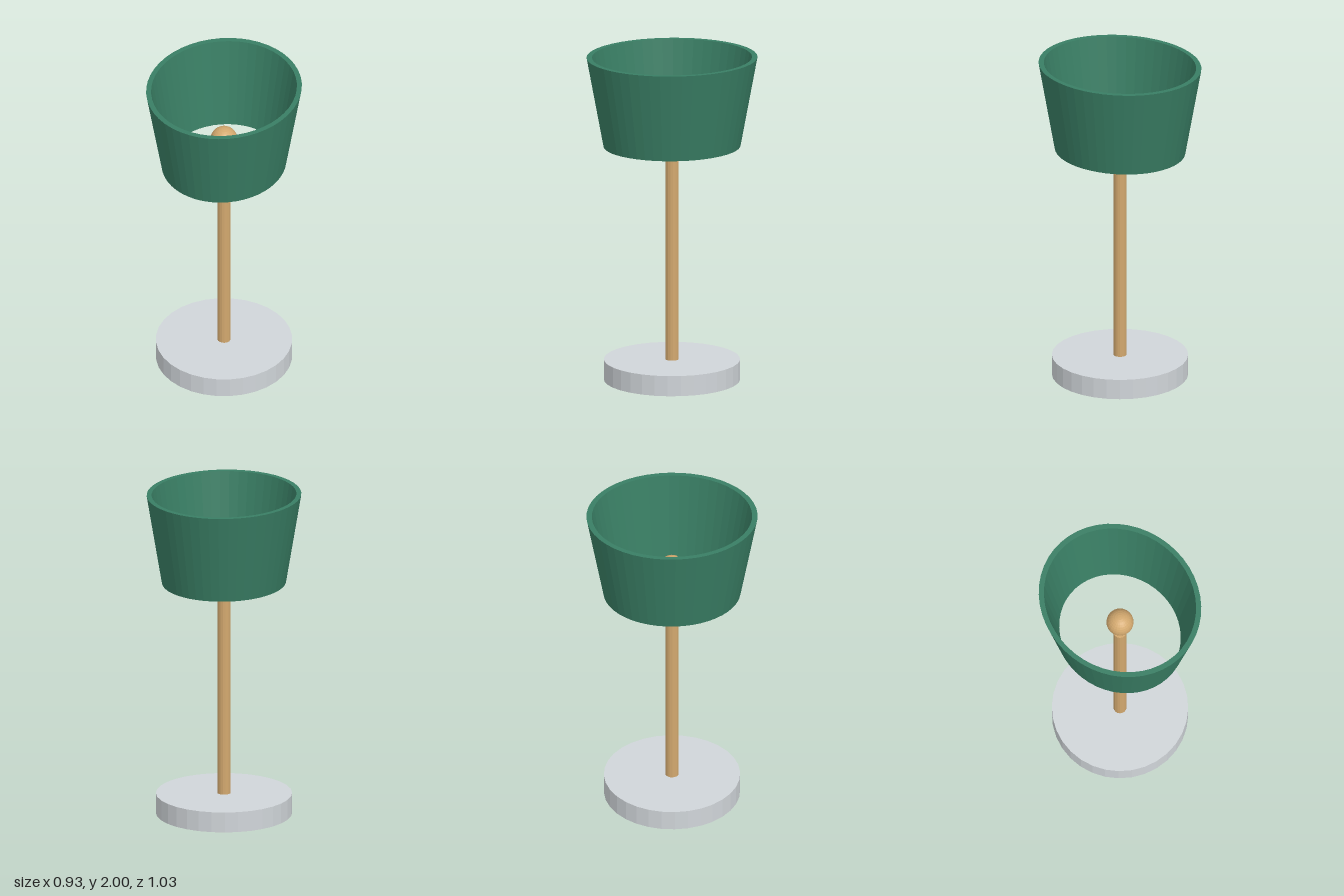
import * as THREE from 'three';

const material = (name, color) => {
  const m = new THREE.MeshStandardMaterial({ color, flatShading: true });
  m.name = name;
  return m;
};

export function createModel() {
  const lamp = new THREE.Group();
  lamp.name = 'tableLamp';

  const green = material('shade green', 0x397e64);
  const wood = material('warm wood', 0xd2a86e);
  const grey = material('pale grey', 0xd0d5d9);

  const add = (name, geometry, mat, y = 0) => {
    const mesh = new THREE.Mesh(geometry, mat);
    mesh.name = name;
    mesh.position.y = y;
    lamp.add(mesh);
    return mesh;
  };

  // Round foot and slim pole
  add('base', new THREE.CylinderGeometry(0.41, 0.41, 0.125, 32), grey, 0.0625);
  add('pole', new THREE.CylinderGeometry(0.04, 0.04, 1.325, 16), wood, 0.7875);

  // Bulb floating inside the shade
  add('bulb', new THREE.SphereGeometry(0.082, 24, 16), wood, 1.62);

  // Open shade: closed wall profile (outer, top rim, inner, bottom rim), oval in plan
  const wall = [[0.413, 1.45], [0.515, 2], [0.482, 2], [0.385, 1.45], [0.413, 1.45]];
  const shade = new THREE.LatheGeometry(wall.map(([r, y]) => new THREE.Vector2(r, y)), 48);
  shade.scale(0.9, 1, 1);
  add('shade', shade, green);

  return lamp;
}
